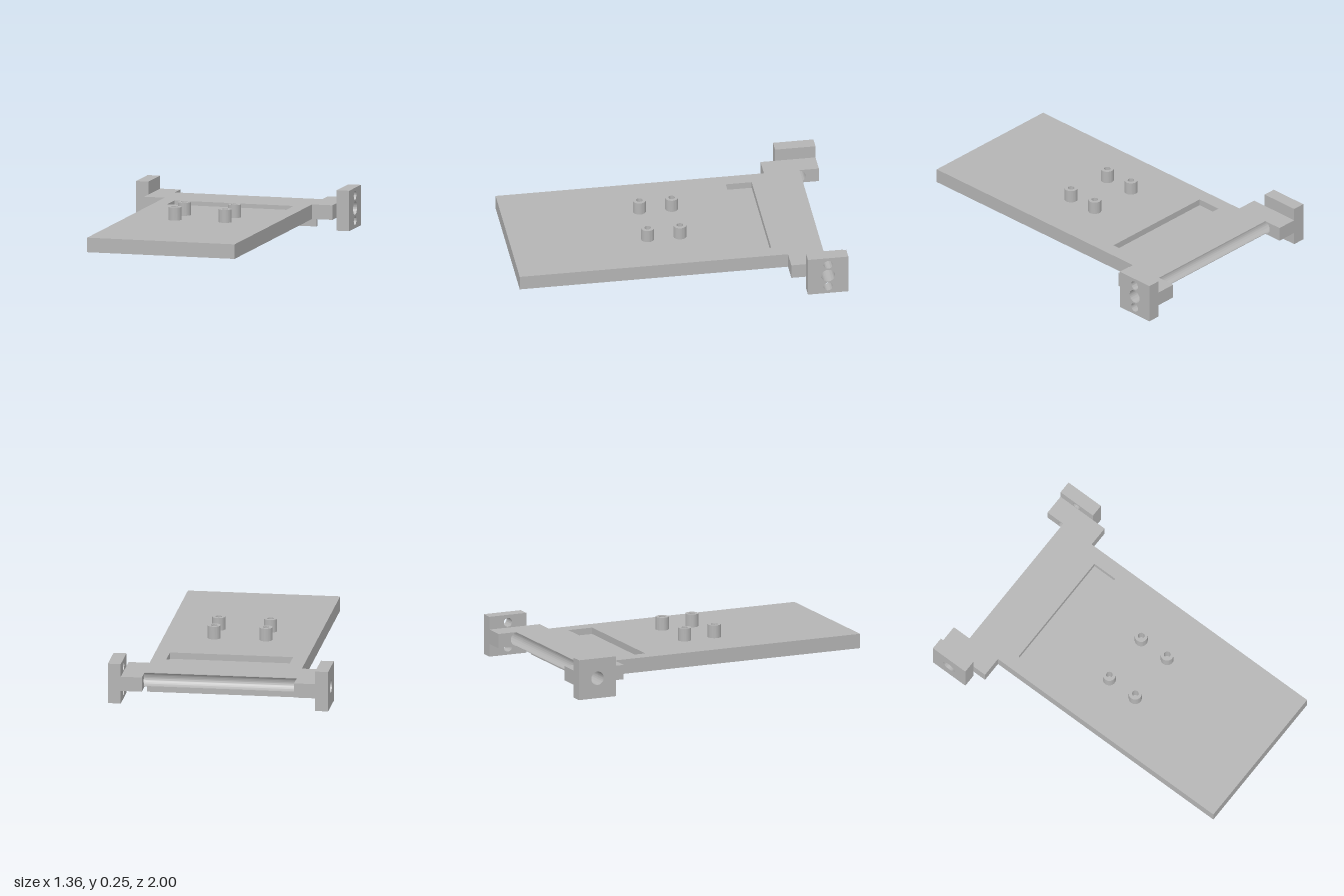
import * as THREE from 'three';
import { toCreasedNormals } from 'three/addons/utils/BufferGeometryUtils.js';

const grey = new THREE.MeshStandardMaterial({ color: 0xb4b4b4 });
grey.name = 'plain grey';

// Axle bore: depth behind centre, height and radius
const AXLE = { u: 0.875, y: 0.125, r: 0.042 };

function trace(path, u0, u1, v0, v1) {
  path.moveTo(u0, v0);
  path.lineTo(u1, v0);
  path.lineTo(u1, v1);
  path.lineTo(u0, v1);
  path.closePath();
  return path;
}
const rect = (...a) => trace(new THREE.Shape(), ...a);
const rectHole = (...a) => trace(new THREE.Path(), ...a);
const roundHole = (u, v, r) => new THREE.Path().absarc(u, v, r, 0, Math.PI * 2, true);

function extrude(shape, depth) {
  return new THREE.ExtrudeGeometry(shape, { depth, bevelEnabled: false, curveSegments: 24 });
}

export function createModel() {
  const model = new THREE.Group();
  model.name = 'mountingTray';

  const add = (name, geometry) => {
    const mesh = new THREE.Mesh(toCreasedNormals(geometry, 0.6), grey);
    mesh.name = name;
    model.add(mesh);
  };
  // Plan shape (x, -z) raised from y0 to y1
  const slab = (name, shape, y0, y1) =>
    add(name, extrude(shape, y1 - y0).rotateX(-Math.PI / 2).translate(0, y0, 0));
  // Side shape (-z, y) swept from x0 to x1
  const sweep = (name, shape, x0, x1) =>
    add(name, extrude(shape, x1 - x0).rotateY(Math.PI / 2).translate(x0, 0, 0));

  // Tray plate: recessed underside, solid core, slotted top
  const outline = () => rect(-0.47, 0.47, -1, 0.75);
  const underside = outline();
  underside.holes.push(rectHole(-0.395, 0.395, -0.925, 0.67));
  slab('plateRim', underside, 0.08, 0.1);
  slab('plateCore', outline(), 0.1, 0.13);
  const top = outline();
  top.holes.push(rectHole(-0.38, 0.38, 0.41, 0.57));
  slab('plateTop', top, 0.13, 0.17);

  // Rear edge with the open axle groove
  const angle = Math.acos(0.005 / AXLE.r);
  const groove = new THREE.Shape();
  groove.moveTo(0.75, 0.08);
  groove.lineTo(0.88, 0.08);
  groove.absarc(AXLE.u, AXLE.y, AXLE.r, -angle, angle, true);
  groove.lineTo(0.88, 0.17);
  groove.lineTo(0.75, 0.17);
  groove.closePath();
  sweep('grooveEdge', groove, -0.47, 0.47);

  // Rib hanging below the rear edge
  sweep('lowerRib', rect(0.75, 0.78, 0.02, 0.08), -0.47, 0.47);

  // Side arms and end blocks, all bored for the axle
  for (const side of [-1, 1]) {
    const label = side > 0 ? 'left' : 'right';
    const span = (a, b) => (side > 0 ? [a, b] : [-b, -a]);

    const arm = rect(0.66, 1, 0.08, 0.17);
    arm.holes.push(roundHole(AXLE.u, AXLE.y, AXLE.r));
    sweep(label + 'Arm', arm, ...span(0.47, 0.6));

    const block = rect(0.75, 1, 0, 0.25);
    block.holes.push(roundHole(AXLE.u, AXLE.y, AXLE.r));
    // Screw holes on the left block only
    if (side > 0) {
      for (const y of [0.047, 0.203]) block.holes.push(roundHole(AXLE.u, y, 0.028));
    }
    sweep(label + 'EndBlock', block, ...span(0.6, 0.68));
  }

  // Four hollow standoffs
  for (const x of [-0.16, 0.16]) {
    for (const z of [-0.04, 0.16]) {
      const ring = new THREE.Shape().absarc(x, -z, 0.04, 0, Math.PI * 2, false);
      ring.holes.push(roundHole(x, -z, 0.02));
      slab('standoff', ring, 0.17, 0.25);
    }
  }
  return model;
}
